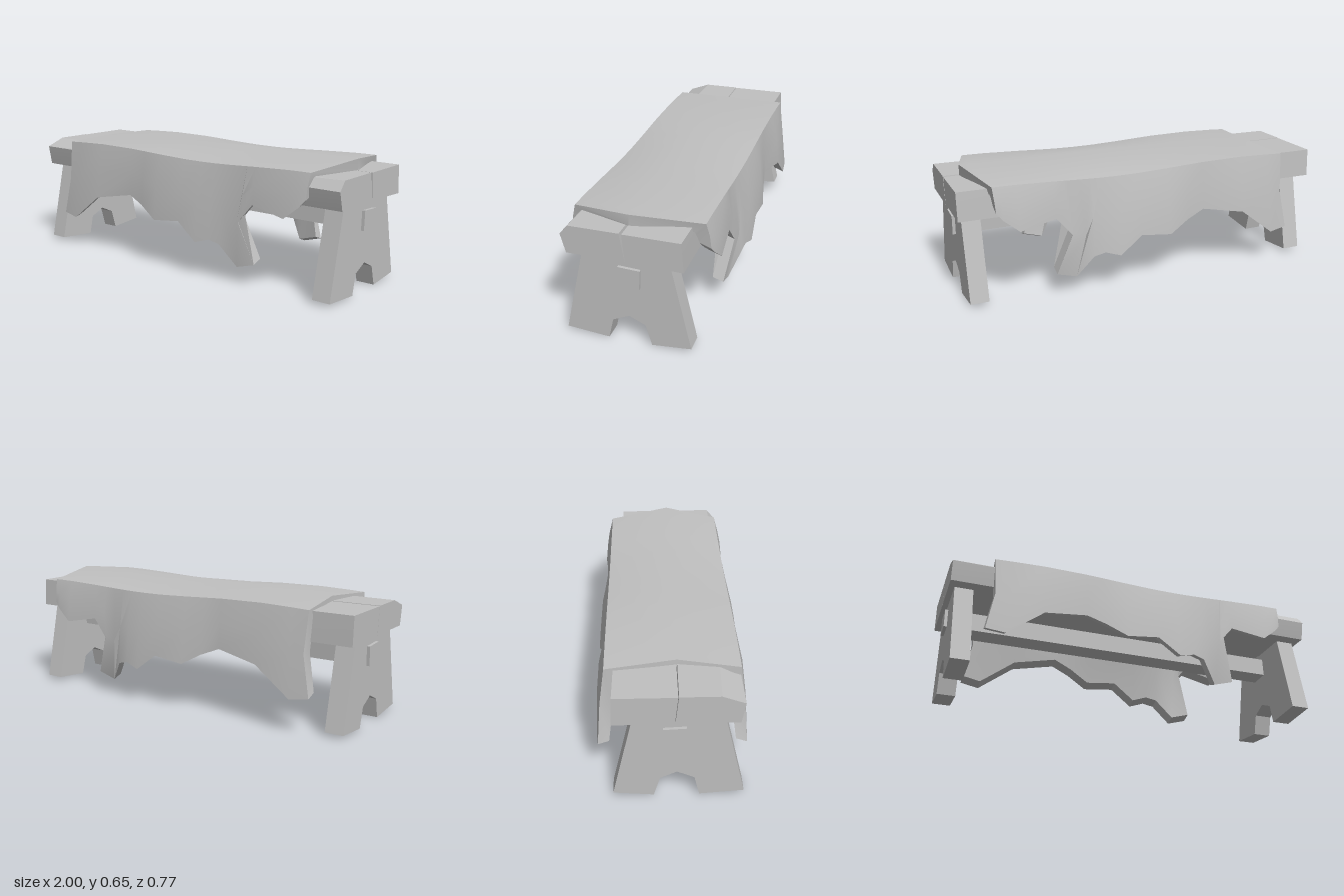
import * as THREE from 'three';
import { toCreasedNormals } from 'three/addons/utils/BufferGeometryUtils.js';

const grey = new THREE.MeshStandardMaterial({ color: 0xc0c0c0 });
grey.name = 'plain grey';

// Skins rings of [x, y, z] points running from -x to +x, and closes both ends.
function loft(rings, crease) {
  const pos = [];
  const tri = (a, b, c) => pos.push(...a, ...b, ...c);
  const n = rings[0].length;
  for (let k = 0; k < rings.length - 1; k++) {
    for (let i = 0; i < n; i++) {
      const j = (i + 1) % n;
      const a = rings[k][i], b = rings[k][j], c = rings[k + 1][j], d = rings[k + 1][i];
      tri(a, d, c);
      tri(a, c, b);
    }
  }
  const first = rings[0], last = rings[rings.length - 1];
  for (let i = 0; i < Math.floor((n - 1) / 2); i++) {
    const q = i + 1, r = n - 2 - i, s = n - 1 - i;
    tri(last[i], last[s], last[r]);
    tri(first[i], first[r], first[s]);
    if (q !== r) {
      tri(last[i], last[r], last[q]);
      tri(first[i], first[q], first[r]);
    }
  }
  const geo = new THREE.BufferGeometry();
  geo.setAttribute('position', new THREE.Float32BufferAttribute(pos, 3));
  geo.computeVertexNormals();
  return toCreasedNormals(geo, crease);
}

// Thick hide: each column gives a cross-section from front hem over the ridge to back hem.
function hideGeometry() {
  // top x, hem x, hem y, hem z, optional middle [x, y, z]
  const columns = [
    [-0.79, -0.82, 0.19, 0.36, [-0.78, 0.40, 0.345]],
    [-0.70, -0.72, 0.175, 0.37],
    [-0.53, -0.53, 0.32, 0.37],
    [-0.30, -0.30, 0.36, 0.34],
    [-0.20, -0.20, 0.32, 0.355],
    [-0.09, -0.09, 0.26, 0.378],
    [0.08, 0.08, 0.28, 0.378],
    [0.20, 0.20, 0.19, 0.385],
    [0.28, 0.28, 0.215, 0.372],
    [0.34, 0.34, 0.20, 0.365],
    [0.40, 0.42, 0.085, 0.318, [0.38, 0.32, 0.358]],
    [0.46, 0.525, 0.115, 0.318, [0.445, 0.34, 0.352]],
    [0.48, 0.45, 0.33, 0.352, [0.465, 0.46, 0.34]],
    [0.53, 0.53, 0.425, 0.345],
    [0.72, 0.72, 0.39, 0.36],
    [0.80, 0.80, 0.455, 0.35],
    [0.84, 0.83, 0.49, 0.34],
  ];
  const rings = columns.map(([tx, hx, hy, hz, mid]) => {
    const t = (tx + 0.79) / 1.63;
    const edgeY = 0.608 + 0.01 * Math.sin(t * 8);
    const ridgeX = -0.745 + t * 1.665;
    const ridgeY = 0.625 + 0.028 * Math.min(1, t * 1.7);
    const m = mid || [(tx + hx) / 2, (edgeY + hy) / 2, 0.32 + (hz - 0.32) * 0.7];
    const outer = [[hx, hy, hz], m, [tx, edgeY, 0.318]];
    const inner = [[hx, hy + 0.02, hz - 0.055], [m[0], m[1], m[2] - 0.065], [tx, edgeY - 0.05, 0.265]];
    const back = ([x, y, z]) => [x, y, -z];
    return [
      ...outer, [ridgeX, ridgeY, 0.02], ...outer.map(back).reverse(),
      ...inner.map(back), [ridgeX, ridgeY - 0.055, 0.02], ...inner.reverse(),
    ];
  });
  return loft(rings, 0.6);
}

// Plank between two end profiles of [z, y] points.
function plankGeometry(leftEnd, rightEnd) {
  const ring = (x, pts) => pts.map(([z, y]) => [x, y, z]);
  return loft([ring(-1, leftEnd), ring(1, rightEnd)], 0.3);
}

// Splayed end board with a notch cut between its feet.
function legGeometry() {
  const profile = [
    [0.335, 0.018], [0.122, 0], [0.098, 0.105], [0.015, 0.143], [-0.065, 0.105],
    [-0.095, 0], [-0.288, 0.018], [-0.19, 0.458], [0.235, 0.458],
  ];
  const shape = new THREE.Shape(profile.map(([z, y]) => new THREE.Vector2(-z, y)));
  const geo = new THREE.ExtrudeGeometry(shape, { depth: 0.096, bevelEnabled: false });
  geo.translate(0, 0, -0.048);
  geo.rotateY(Math.PI / 2);
  return geo;
}

export function createModel() {
  const bench = new THREE.Group();
  bench.name = 'bench';
  const add = (name, geo, x = 0, y = 0, z = 0) => {
    const mesh = new THREE.Mesh(geo, grey);
    mesh.name = name;
    mesh.position.set(x, y, z);
    bench.add(mesh);
    return mesh;
  };

  // Seat planks with a narrow gap between them
  add('frontPlank', plankGeometry(
    [[0.005, 0.455], [0.30, 0.455], [0.318, 0.56], [0.21, 0.6], [0.02, 0.6]],
    [[0.015, 0.452], [0.30, 0.455], [0.325, 0.55], [0.285, 0.597], [0.037, 0.597]]));
  add('backPlank', plankGeometry(
    [[0.003, 0.457], [0.017, 0.598], [-0.278, 0.598], [-0.285, 0.45]],
    [[0.013, 0.457], [0.025, 0.595], [-0.253, 0.595], [-0.263, 0.447]]));

  // End boards
  add('leftLeg', legGeometry(), 0.923);
  add('rightLeg', legGeometry(), -0.923);

  // Stretcher that pokes out through both end boards
  add('stretcher', new THREE.BoxGeometry(1.974, 0.1, 0.108), 0, 0.361, 0.006).rotation.x = -0.05;

  // Draped hide
  add('hide', hideGeometry());
  return bench;
}
